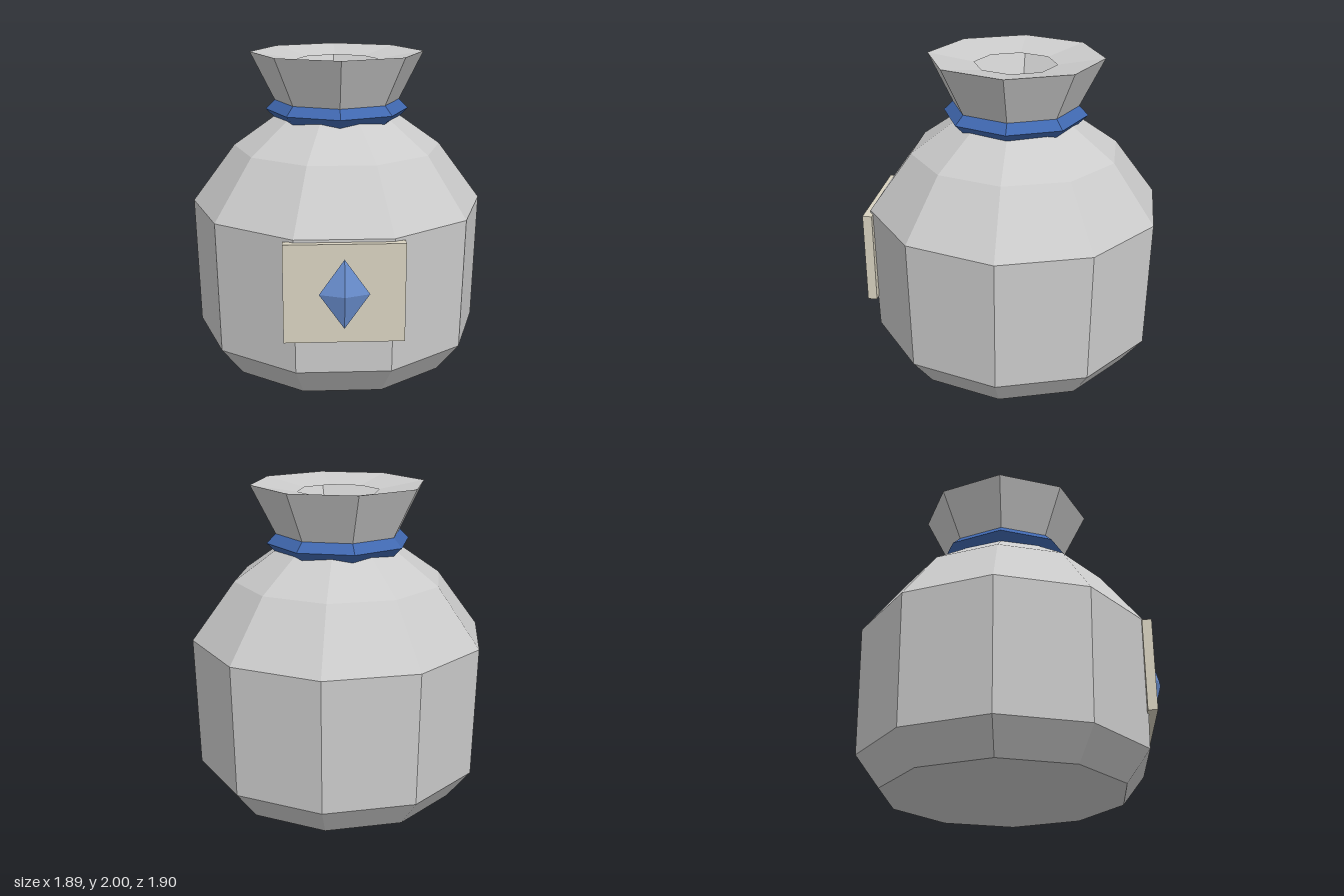
import * as THREE from 'three';

const AXIS_Z = -0.05; // the sack sits slightly back so the label and gem balance the depth

function material(color, side = THREE.FrontSide) {
  return new THREE.MeshStandardMaterial({ color, side, flatShading: true });
}

// Faceted turned part from [radius, height] pairs, with a corner on the x axis
function turned(name, profile, sides, mat) {
  const points = profile.map(([r, y]) => new THREE.Vector2(r, y));
  const mesh = new THREE.Mesh(new THREE.LatheGeometry(points, sides, Math.PI / 2), mat);
  mesh.name = name;
  mesh.position.z = AXIS_Z;
  return mesh;
}

export function createModel() {
  const model = new THREE.Group();
  model.name = 'sack';

  // Ten-sided bulging body, closed at bottom and top
  model.add(turned('body', [
    [0, 0], [0.775, 0], [0.925, 0.195], [0.945, 1.03], [0.67, 1.4], [0.36, 1.62], [0, 1.62],
  ], 10, material(0xcccccc)));

  // Eight-sided flared neck with a shallow inward rim around the opening
  model.add(turned('neck', [
    [0.4, 1.69], [0.555, 2], [0.26, 1.95],
  ], 8, material(0xcccccc, THREE.DoubleSide)));

  // Tie around the neck
  const tie = new THREE.Mesh(
    new THREE.TorusGeometry(0.4, 0.06, 4, 8).rotateX(Math.PI / 2), material(0x4068b0));
  tie.name = 'tie';
  tie.position.set(0, 1.635, AXIS_Z);
  model.add(tie);

  // Label plate on the front
  const label = new THREE.Mesh(new THREE.BoxGeometry(0.71, 0.6, 0.06), material(0xd8d2c0));
  label.name = 'label';
  label.position.set(0, 0.713, 0.855);
  model.add(label);

  // Diamond-shaped gem on the label
  const gem = new THREE.Mesh(
    new THREE.OctahedronGeometry(1).scale(0.148, 0.212, 0.055), material(0x6a8fd0));
  gem.name = 'gem';
  gem.position.set(0, 0.713, 0.895);
  model.add(gem);

  return model;
}
